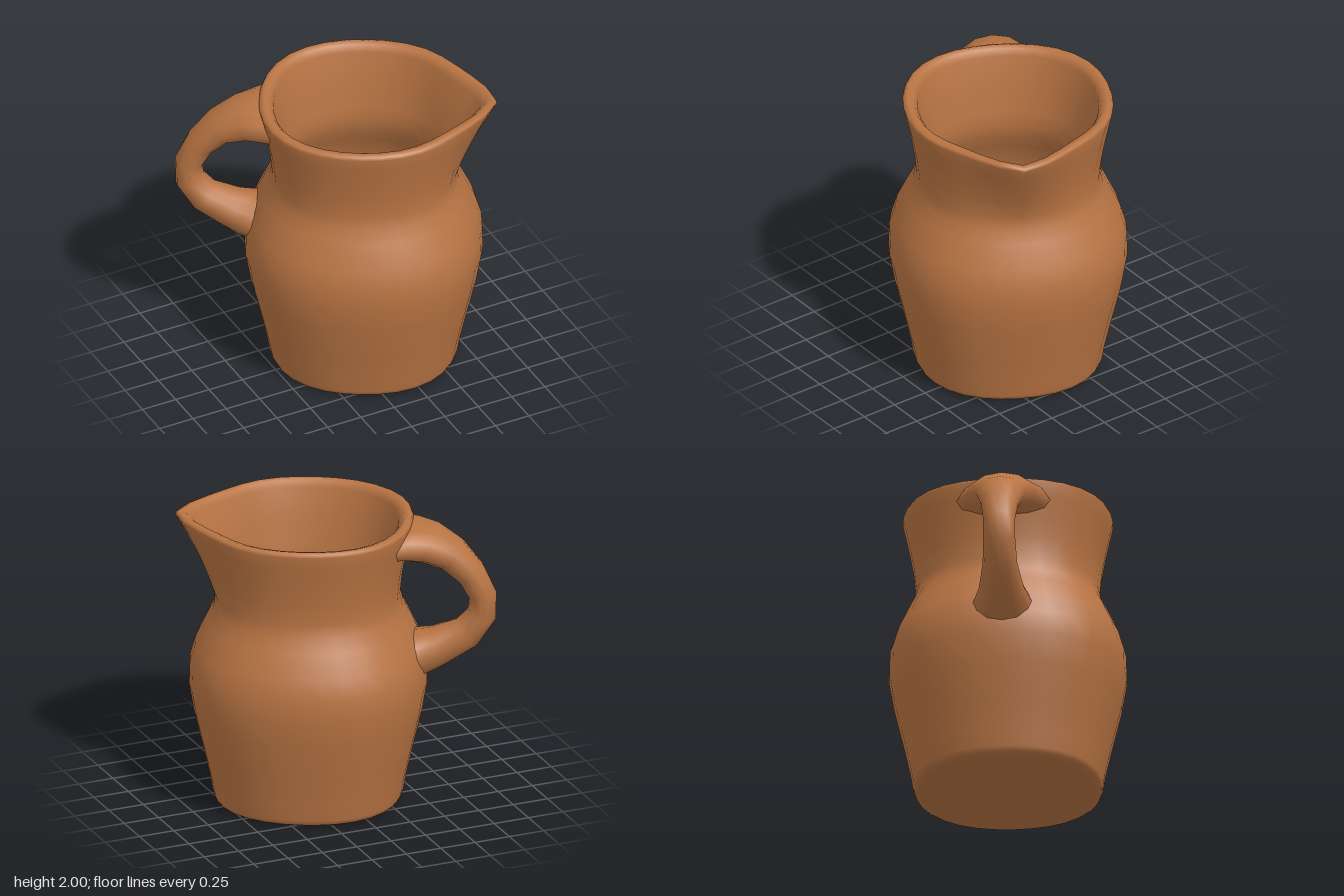
import * as THREE from 'three';
import { mergeVertices } from 'three/addons/utils/BufferGeometryUtils.js';

// Local frame: handle points to +x, spout to -x; the group is turned at the end.
const SPOUT = [0.19, 0.13, 0.06, 0.015]; // extra rim radius per step away from the spout line
const SEGMENTS = 32;

function smooth(geometry) {
  geometry.deleteAttribute('normal');
  geometry.deleteAttribute('uv');
  const merged = mergeVertices(geometry, 1e-4);
  merged.computeVertexNormals();
  return merged;
}

// Hollow body: outer wall upwards, over the rim, inner wall down to the floor
function bodyGeometry() {
  const profile = [
    [0, 0], [0.58, 0], [0.61, 0.006], [0.635, 0.02], [0.648, 0.05], [0.665, 0.15], [0.71, 0.35], [0.775, 0.62],
    [0.81, 0.82], [0.805, 0.98], [0.765, 1.11], [0.69, 1.27], [0.645, 1.36], [0.625, 1.45],
    [0.64, 1.6], [0.665, 1.74], [0.695, 1.88], [0.715, 1.97], [0.705, 1.99], [0.68, 2],
    [0.645, 1.99], [0.615, 1.95], [0.575, 1.74], [0.54, 1.55], [0.53, 1.45], [0.55, 1.35],
    [0.6, 1.25], [0.69, 1.05], [0.715, 0.82], [0.68, 0.6], [0.62, 0.36], [0.56, 0.2],
    [0.48, 0.13], [0.3, 0.1], [0, 0.1],
  ].map(([r, y]) => new THREE.Vector2(r, y));
  const geometry = new THREE.LatheGeometry(profile, SEGMENTS);
  const pos = geometry.attributes.position;
  for (let i = 0; i < pos.count; i++) {
    const x = pos.getX(i), y = pos.getY(i), z = pos.getZ(i);
    const r = Math.hypot(x, z);
    if (r < 1e-3) continue;
    const angle = Math.atan2(z, x);
    // slightly squared wall
    let radius = r * (1 - 0.02 * Math.cos(4 * angle));
    // pinched spout growing from the neck to the rim
    const step = Math.round((Math.PI - Math.abs(angle)) / (2 * Math.PI / SEGMENTS));
    const lift = Math.max(0, (y - 1.42) / 0.56);
    radius += (SPOUT[step] ?? 0) * lift;
    pos.setXYZ(i, x * radius / r, y, z * radius / r);
  }
  return smooth(geometry);
}

// Handle: elliptical rings swept along an arc, flared where they meet the wall
function handleGeometry() {
  // distance from axis, height, half thickness, half width, wrap around the wall
  const stations = [
    [0.65, 1.86, 0.12, 0.33, 1], [0.72, 1.855, 0.125, 0.29, 0.8], [0.82, 1.83, 0.13, 0.225, 0.4],
    [0.96, 1.755, 0.115, 0.165, 0], [1.09, 1.62, 0.1, 0.125, 0], [1.165, 1.47, 0.095, 0.107, 0],
    [1.16, 1.33, 0.1, 0.107, 0], [1.06, 1.195, 0.115, 0.115, 0], [0.88, 1.1, 0.135, 0.15, 0.2],
    [0.78, 1.06, 0.15, 0.19, 0.7], [0.71, 1.04, 0.16, 0.22, 1],
  ];
  const sides = 12;
  const positions = [], index = [];
  stations.forEach(([u, y, thick, width, wrap], i) => {
    const a = stations[Math.max(i - 1, 0)], b = stations[Math.min(i + 1, stations.length - 1)];
    const t = new THREE.Vector2(b[0] - a[0], b[1] - a[1]).normalize();
    for (let j = 0; j < sides; j++) {
      const angle = j / sides * Math.PI * 2;
      const n = thick * Math.cos(angle), s = width * Math.sin(angle);
      positions.push(u - t.y * n - wrap * s * s / 1.4, y + t.x * n, s);
      if (i === stations.length - 1) continue;
      const p = i * sides + j, q = i * sides + (j + 1) % sides;
      index.push(p, q, p + sides, q, q + sides, p + sides);
    }
  });
  const geometry = new THREE.BufferGeometry();
  geometry.setAttribute('position', new THREE.Float32BufferAttribute(positions, 3));
  geometry.setIndex(index);
  geometry.computeVertexNormals();
  return geometry;
}

export function createModel() {
  const clay = new THREE.MeshStandardMaterial({ color: 0xb87443 });
  clay.name = 'clay';

  const body = new THREE.Mesh(bodyGeometry(), clay);
  body.name = 'body';
  const handle = new THREE.Mesh(handleGeometry(), clay);
  handle.name = 'handle';

  const jug = new THREE.Group();
  jug.name = 'jug';
  jug.add(body, handle);
  jug.rotation.y = Math.PI - THREE.MathUtils.degToRad(29);
  jug.position.x = 0.16;

  const model = new THREE.Group();
  model.name = 'pitcher';
  model.add(jug);
  return model;
}
